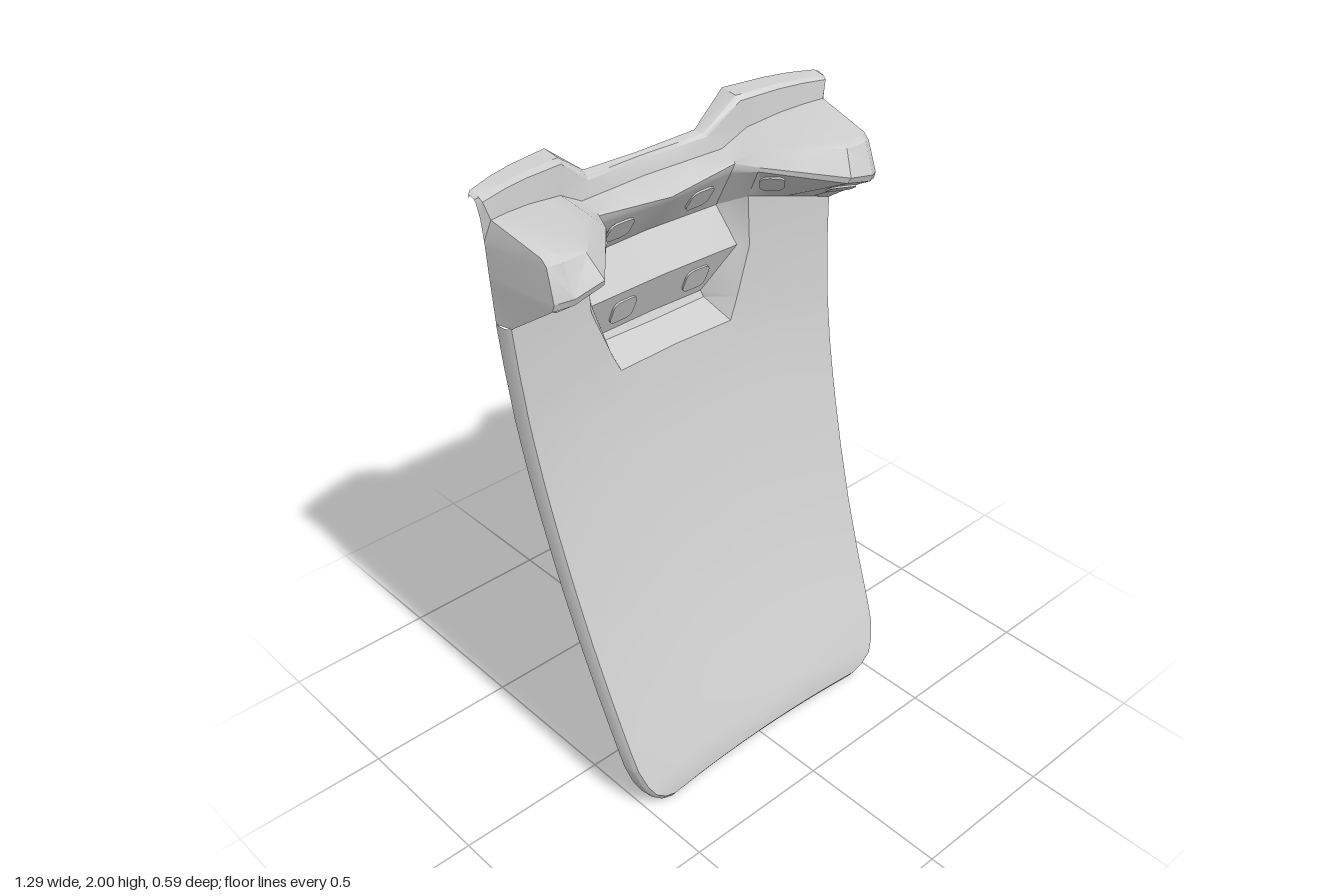
import * as THREE from 'three';
import { toCreasedNormals } from 'three/addons/utils/BufferGeometryUtils.js';

const V = (x, y, z) => new THREE.Vector3(x, y, z);
const lerp = THREE.MathUtils.lerp;
const material = new THREE.MeshStandardMaterial({ color: 0xcccccc, side: THREE.DoubleSide });

// Linear lookup in a list of [key, value] pairs
function lookup(table, k) {
  let i = 1;
  while (i < table.length - 1 && k > table[i][0]) i++;
  const [a, b] = [table[i - 1], table[i]];
  return lerp(a[1], b[1], THREE.MathUtils.clamp((k - a[0]) / (b[0] - a[0]), 0, 1));
}

// One mesh from grids of points (columns run left to right, points upward), split on the shorter diagonal
function loft(name, grids, crease) {
  const pos = [];
  const tri = (...p) => p.forEach((v) => pos.push(v.x, v.y, v.z));
  for (const cols of grids) {
    for (let i = 0; i < cols.length - 1; i++) {
      for (let j = 0; j < cols[i].length - 1; j++) {
        const a = cols[i][j], b = cols[i + 1][j], c = cols[i + 1][j + 1], d = cols[i][j + 1];
        if (a.distanceTo(c) < b.distanceTo(d)) {
          tri(a, b, c);
          tri(a, c, d);
        } else {
          tri(a, b, d);
          tri(b, c, d);
        }
      }
    }
  }
  const g = new THREE.BufferGeometry();
  g.setAttribute('position', new THREE.Float32BufferAttribute(pos, 3));
  const mesh = new THREE.Mesh(toCreasedNormals(g, crease), material);
  mesh.name = name;
  return mesh;
}

const flip = (col) => col.map((p) => V(-p.x, p.y, p.z));
// Half columns starting on the centre line, completed on the other side
const mirrored = (half) => [...half.slice(1).reverse().map(flip), ...half];
// Adds a column halfway between columns i and i + 1
const addMiddle = (cols, i) => cols.splice(i + 1, 0, cols[i].map((p, j) => p.clone().lerp(cols[i + 1][j], 0.5)));

// Flap: half width by height, side profile by height, pocket edge by height
const WIDTH = [[0.035, 0.41], [0.05, 0.45], [0.08, 0.487], [0.12, 0.51], [0.18, 0.528], [0.25, 0.535], [1.62, 0.613]];
const PROFILE = [[0, 0.31], [0.08, 0.298], [0.2, 0.252], [0.4, 0.172], [0.6, 0.1], [0.8, 0.038], [1, -0.016],
  [1.16, -0.053], [1.32, -0.081], [1.5, -0.1], [1.62, -0.108], [1.75, -0.113]];
const POCKET = [[1.32, 0.22], [1.385, 0.25], [1.54, 0.31], [1.7, 0.31]];
const flapPoint = (x, y) => {
  const t = Math.min(1, Math.abs(x) / (0.53 + 0.05 * y));
  return V(x, y, lookup(PROFILE, y) - lerp(0.03, 0.062, Math.min(1, y / 1.32)) * (1 - t * t));
};

// Thin rounded fastener pad lying on the quad a-b-c-d
function pad([a, b, c, d], u, v, w, h) {
  const p = a.clone().lerp(b, u).lerp(d.clone().lerp(c, u), v);
  const n = c.clone().sub(a).cross(d.clone().sub(b)).normalize();
  const r = 0.025, x = w / 2 - r, y = h / 2 - r;
  const shape = new THREE.Shape();
  [[x, y], [-x, y], [-x, -y], [x, -y]].forEach(([cx, cy], i) =>
    shape.absarc(cx, cy, r, i * Math.PI / 2, (i + 1) * Math.PI / 2));
  const g = new THREE.ExtrudeGeometry(shape, { depth: 0.006, bevelEnabled: false, curveSegments: 4 });
  const mesh = new THREE.Mesh(g, material);
  mesh.name = 'fastenerPad';
  mesh.position.copy(p).addScaledVector(n, 0.001);
  mesh.lookAt(mesh.position.clone().add(n));
  return mesh;
}

export function createModel() {
  const model = new THREE.Group();
  model.name = 'mudFlap';

  // Curved flap: a middle strip below the pocket and two side strips reaching the bracket
  const ys = [0.035, 0.05, 0.08, 0.12, 0.18, 0.25];
  for (let i = 1; i <= 12; i++) ys.push(lerp(0.25, 1.32, i / 12));
  const rows = ys.map((y) => [y, y]);
  for (const s of [0.17, 0.37, 0.58, 0.8, 1]) rows.push([lerp(1.32, 1.7, s), lerp(1.32, 1.62, s)]);
  const middle = [-1, -0.5, 0, 0.5, 1].map((t) => ys.map((y) => flapPoint(t * 0.22, y)));
  const strip = [0, 0.2, 0.4, 0.6, 0.8, 1].map((u) => rows.map(([yi, yo]) =>
    flapPoint(lerp(lookup(POCKET, yi), lookup(WIDTH, yo), u), lerp(yi, yo, u))));
  model.add(loft('flapPanel', [middle, strip, strip.map(flip).reverse()], 0.8));

  // Rim folded backward along the sides and bottom, with a narrow inward hem
  const side = strip[5].slice().reverse();
  const bottom = Array.from({ length: 17 }, (_, i) => flapPoint((1 - i / 8) * 0.41, 0.035));
  const outline = [...side, ...bottom.slice(1, -1), ...flip(side).reverse()];
  const rim = outline.map((p, i) => {
    const d = outline[Math.min(i + 1, outline.length - 1)].clone().sub(outline[Math.max(i - 1, 0)]);
    d.z = 0;
    d.normalize();
    const down = Math.max(0, -d.x);
    const out = (k, z) => V(p.x - d.y * 0.013 * k, p.y + d.x * 0.033 * k, p.z - z);
    return [p, out(0.7, 0.015), out(1, 0.05 + 0.022 * down), out(0.3, 0.052 + 0.022 * down)];
  });
  model.add(loft('flapRim', [rim.reverse()], 0.5));

  // Stepped pocket in the middle
  const edge = (y) => flapPoint(lookup(POCKET, y), y);
  const pocket = [
    [flapPoint(0, 1.32), V(0, 1.365, -0.238), V(0, 1.39, -0.25), V(0, 1.54, -0.185), V(0, 1.655, -0.262)],
    [edge(1.32), V(0.2, 1.37, -0.235), V(0.195, 1.39, -0.245), V(0.285, 1.54, -0.178), V(0.265, 1.655, -0.25)],
    [edge(1.32), edge(1.365), edge(1.39), edge(1.54), edge(1.7)],
  ];
  addMiddle(pocket, 0);
  model.add(loft('pocket', [mirrored(pocket)], 0.4));

  // Top bracket: underside, nose, shelf, wall and ledge in each column
  const bracket = [
    [V(0, 1.655, -0.262), V(0, 1.78, -0.16), V(0, 1.8, -0.148), V(0, 1.825, -0.268), V(0, 1.88, -0.28), V(0, 1.89, -0.295)],
    [V(0.265, 1.655, -0.25), V(0.25, 1.795, -0.167), V(0.258, 1.822, -0.16), V(0.265, 1.843, -0.225), V(0.22, 1.892, -0.247), V(0.21, 1.9, -0.285)],
    [edge(1.7), V(0.285, 1.812, -0.09), V(0.33, 1.862, -0.1), V(0.35, 1.892, -0.208), V(0.33, 1.985, -0.222), V(0.33, 1.995, -0.295)],
    [flapPoint(0.455, 1.662), V(0.46, 1.788, 0.118), V(0.49, 1.882, 0.062), V(0.47, 1.912, -0.188), V(0.47, 1.99, -0.2), V(0.47, 2, -0.263)],
    [flapPoint(0.55, 1.637), V(0.56, 1.765, 0.116), V(0.565, 1.884, 0.065), V(0.55, 1.92, -0.172), V(0.55, 1.99, -0.182), V(0.55, 2, -0.24)],
    [flapPoint(0.613, 1.62), V(0.608, 1.752, 0.085), V(0.6, 1.875, 0.045), V(0.617, 1.925, -0.155), V(0.635, 1.985, -0.163), V(0.635, 1.995, -0.212)],
    [V(0.625, 1.62, -0.16), V(0.63, 1.75, -0.165), V(0.634, 1.86, -0.168), V(0.638, 1.93, -0.172), V(0.645, 1.98, -0.177), V(0.645, 1.99, -0.205)],
  ];
  addMiddle(bracket, 2);
  addMiddle(bracket, 0);
  // Small rounds on the nose and ledge, and a hem along the back
  const rounded = bracket.map((c) => [
    c[0], c[0].clone().lerp(c[1], 0.94), c[1].clone().lerp(c[2], 0.12), c[1].clone().lerp(c[2], 0.88),
    c[2].clone().lerp(c[3], 0.08), c[3], c[4].clone().lerp(c[3], 0.12), c[4].clone().lerp(c[5], 0.2), c[5],
    c[5].clone().add(V(0, -0.012, 0)),
  ]);
  model.add(loft('topBracket', [mirrored(rounded)], 0.5));

  // Fastener pads on the faces that look downward
  const quad = (cols, i, j) => [cols[i][j], cols[i + 1][j], cols[i + 1][j + 1], cols[i][j + 1]];
  const pads = [
    pad(quad(pocket, 1, 2), 0.2, 0.5, 0.09, 0.09),
    pad(quad(bracket, 1, 0), 0.2, 0.55, 0.09, 0.085),
    pad(quad(bracket, 3, 0), 0.5, 0.6, 0.075, 0.08),
    pad(quad(bracket, 5, 0), 0.6, 0.62, 0.08, 0.09),
  ];
  for (const p of pads) {
    const q = p.clone();
    q.position.x *= -1;
    q.quaternion.set(p.quaternion.x, -p.quaternion.y, -p.quaternion.z, p.quaternion.w);
    model.add(p, q);
  }
  return model;
}
